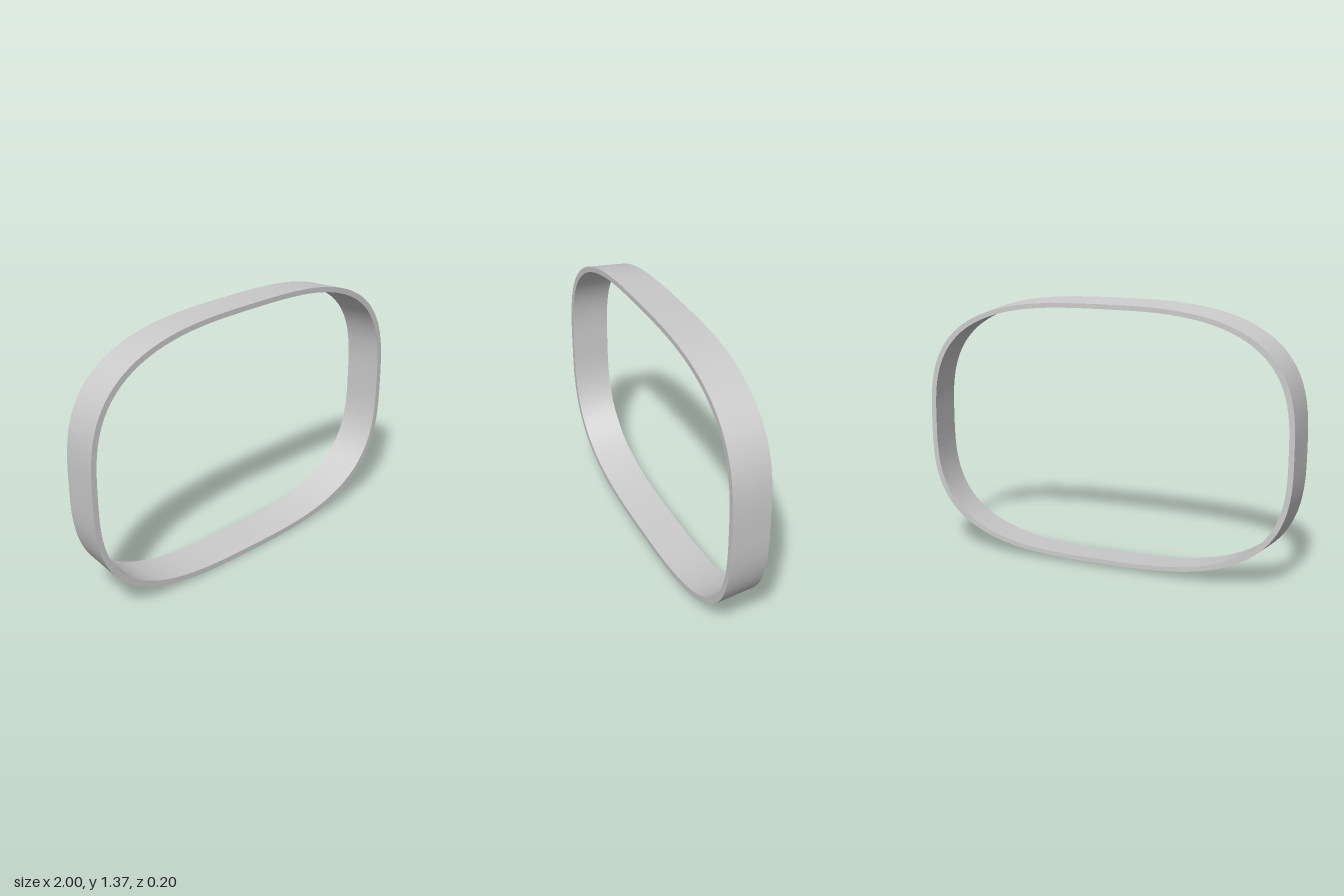
import * as THREE from 'three';
import { mergeGeometries } from 'three/addons/utils/BufferGeometryUtils.js';

const SEGMENTS = 160;
const POWER = 3; // roundness of the rectangular outline

// Corners of the band's cross-section: half width, half height, centre height, depth
const outerFront = { a: 1.0, b: 0.684, y: 0.686, z: 0.1 };
const outerBack = { a: 0.985, b: 0.666, y: 0.689, z: -0.1 };
const innerBack = { a: 0.958, b: 0.643, y: 0.689, z: -0.1 };
const innerFront = { a: 0.97, b: 0.657, y: 0.687, z: 0.1 };

// Point on a superellipse outline at a given angle
function outlinePoint({ a, b, y, z }, angle) {
  const c = Math.cos(angle), s = Math.sin(angle);
  const r = (Math.abs(c) ** POWER + Math.abs(s) ** POWER) ** (-1 / POWER);
  return [a * r * c, y + b * r * s, z];
}

// Closed smooth strip joining two outlines
function wall(from, to) {
  const positions = [], index = [];
  for (let i = 0; i < SEGMENTS; i++) {
    const angle = (i / SEGMENTS) * Math.PI * 2;
    positions.push(...outlinePoint(from, angle), ...outlinePoint(to, angle));
    const p = i * 2, q = ((i + 1) % SEGMENTS) * 2;
    index.push(p, p + 1, q + 1, p, q + 1, q);
  }
  const geometry = new THREE.BufferGeometry();
  geometry.setAttribute('position', new THREE.Float32BufferAttribute(positions, 3));
  geometry.setIndex(index);
  geometry.computeVertexNormals();
  return geometry;
}

export function createModel() {
  const group = new THREE.Group();
  group.name = 'bezel';

  // Separate walls keep the rims crisp and the band smooth
  const section = [outerFront, outerBack, innerBack, innerFront];
  const walls = section.map((corner, i) => wall(corner, section[(i + 1) % 4]));

  const ring = new THREE.Mesh(
    mergeGeometries(walls),
    new THREE.MeshStandardMaterial({ color: 0xcccccc })
  );
  ring.name = 'taperedRing';
  group.add(ring);
  return group;
}
